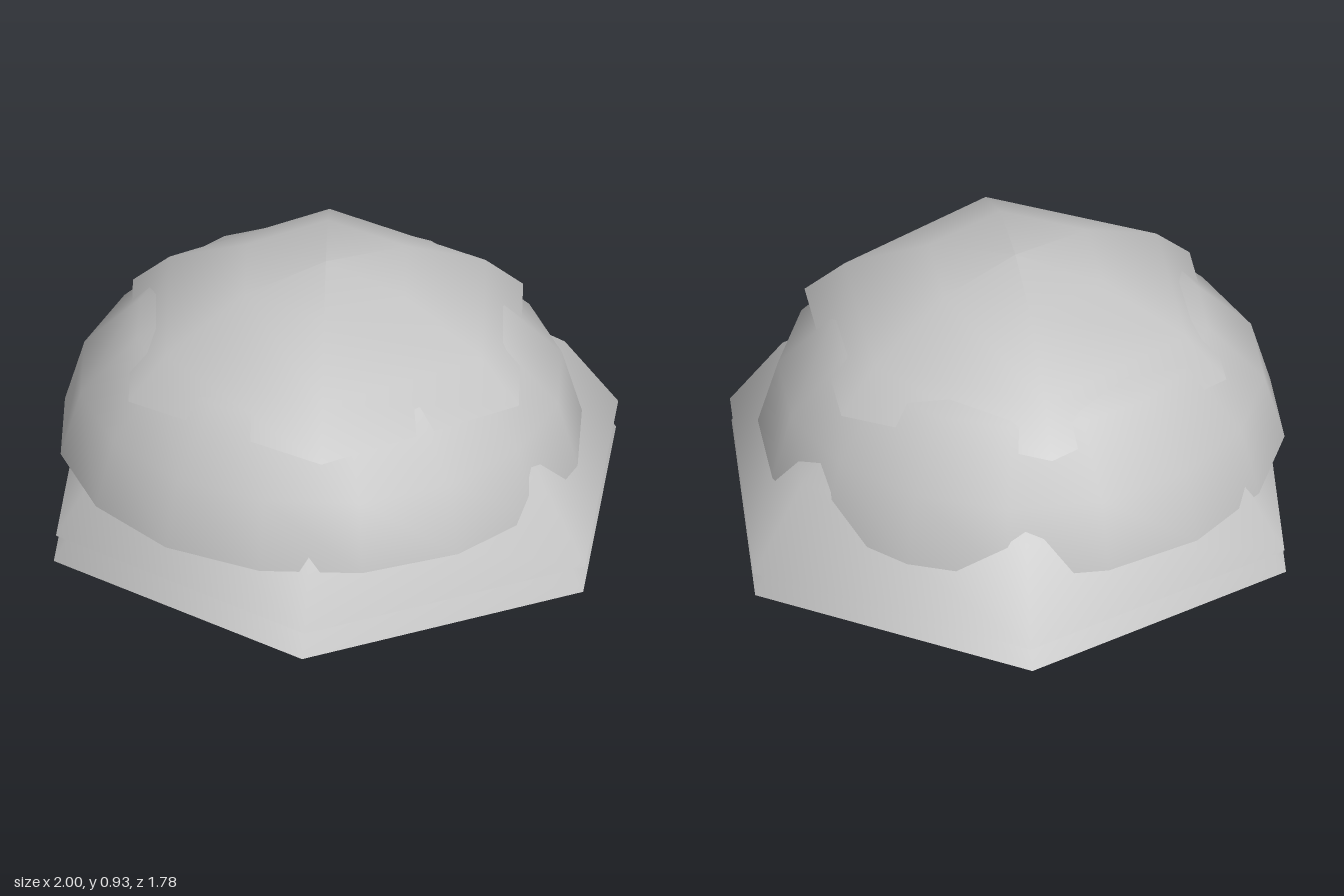
import * as THREE from 'three';

export function createModel() {
  const model = new THREE.Group();
  model.name = 'layeredDome';

  const grey = new THREE.MeshStandardMaterial({ color: 0xc4c4c4, side: THREE.DoubleSide });
  grey.name = 'grey';

  // Profiles as [radius, height] fractions, from rim to peak
  const lowProfile = [[1, 0], [0.81, 0.43], [0.41, 0.89], [0, 1]];
  const roundProfile = [0, 1, 2, 3, 4].map((i) => {
    const a = (i * Math.PI) / 8;
    return [i === 4 ? 0 : Math.cos(a), Math.sin(a)];
  });

  // One open, smooth-shaded dome shell
  function dome(name, profile, sides, radius, height, turn, x, y, z) {
    const points = profile.map(([r, h]) => new THREE.Vector2(r * radius, h * height));
    const geometry = new THREE.LatheGeometry(points, sides, THREE.MathUtils.degToRad(turn));
    const mesh = new THREE.Mesh(geometry, grey);
    mesh.name = name;
    mesh.position.set(x, y, z);
    model.add(mesh);
  }

  // Shells stacked from the ground up
  dome('baseShell', lowProfile, 6, 1, 0.65, 30, 0, 0, -0.013);
  dome('lowerShell', lowProfile, 6, 1, 0.65, 30, 0, 0.092, -0.025);
  dome('roundShell', roundProfile, 16, 0.858, 0.6, 0, -0.025, 0.25, 0.028);
  dome('topShell', lowProfile, 6, 0.733, 0.315, 35, 0, 0.61, 0.037);

  return model;
}
